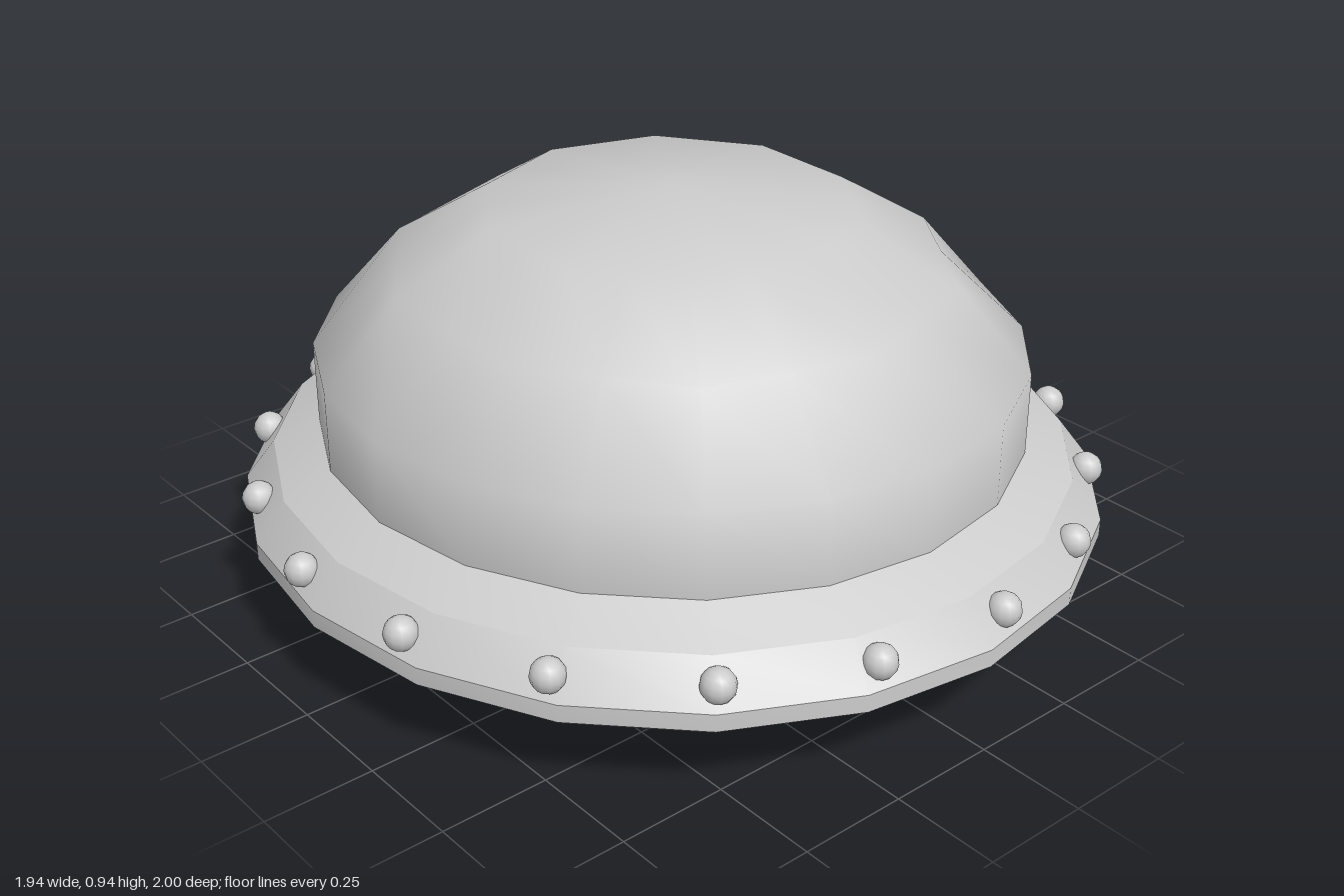
import * as THREE from 'three';
import { toCreasedNormals } from 'three/addons/utils/BufferGeometryUtils.js';

const SIDES = 20;
const X_SCALE = 0.965; // the whole body is slightly narrower in x than in z

export function createModel() {
  const group = new THREE.Group();
  const material = new THREE.MeshStandardMaterial({ color: 0xcccccc });

  const add = (name, geometry, x = 0, y = 0, z = 0) => {
    const mesh = new THREE.Mesh(geometry, material);
    mesh.name = name;
    mesh.position.set(x, y, z);
    group.add(mesh);
    return mesh;
  };

  // Profile of [radius, height] pairs, bottom to top
  const lathe = (profile) =>
    new THREE.LatheGeometry(profile.map(([r, y]) => new THREE.Vector2(r, y)), SIDES)
      .scale(X_SCALE, 1, 1);

  // Saucer rim with a flat underside and bevelled edges
  const rim = lathe([
    [0, 0.175], [0.96, 0.175], [1, 0.205], [1, 0.245],
    [0.93, 0.335], [0.8, 0.4], [0, 0.4],
  ]);
  add('rim', toCreasedNormals(rim, 0.35));

  // Dome: twenty-sided wall, upper rings reduced to ten sides
  const profile = [[0.82, 0.39], [0.82, 0.58], [0.65, 0.77], [0.43, 0.9], [0, 0.94]];
  const dome = lathe(profile);
  const pos = dome.attributes.position;
  for (let i = 0; i < pos.count; i++) {
    const column = Math.floor(i / profile.length);
    const row = i % profile.length;
    if (row >= 2 && column % 2 === 1) {
      const k = Math.cos(Math.PI / 10);
      pos.setX(i, pos.getX(i) * k);
      pos.setZ(i, pos.getZ(i) * k);
    }
  }
  add('dome', toCreasedNormals(dome, 1.0));

  // Studs around the rim
  const stud = new THREE.SphereGeometry(0.038, 12, 8);
  for (let i = 0; i < 18; i++) {
    const a = THREE.MathUtils.degToRad(4.7 + i * 20);
    add('stud', stud, 0.937 * Math.sin(a), 0.29, 0.962 * Math.cos(a));
  }

  // Four round feet beneath the saucer
  const foot = new THREE.SphereGeometry(0.188, 20, 12).scale(1, 1, 0.98);
  for (const [x, z] of [[0.66, 0], [-0.66, 0], [0, 0.685], [0, -0.685]]) {
    add('foot', foot, x, 0.188, z);
  }

  return group;
}
